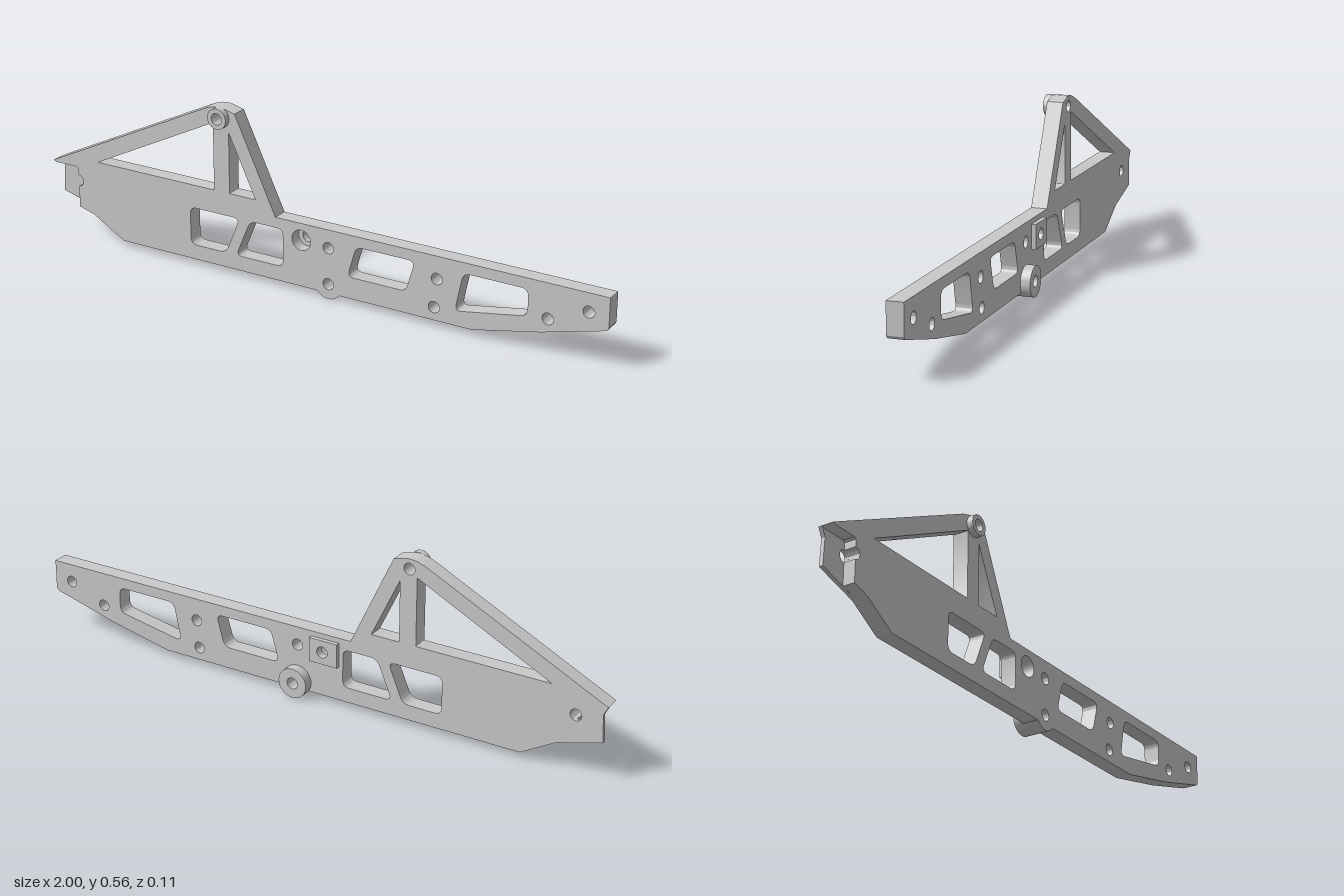
import * as THREE from 'three';
import { toCreasedNormals } from 'three/addons/utils/BufferGeometryUtils.js';

const metal = new THREE.MeshStandardMaterial({ color: 0xc9c9c9 });
metal.name = 'light grey metal';

// Plate levels along z: back face, recess floor, front face
const BACK = -0.021, FLOOR = -0.008, FRONT = 0.032;
const HOLE = 0.019;
const TOP_HUB = [-0.337, 0.525], LOW_HUB = [0.056, 0.05];
const PIVOT = [-0.042, 0.176], END_HOLE = [-0.899, 0.196];

const circle = ([x, y], r) => new THREE.Path().absarc(x, y, r, 0, Math.PI * 2, false);

// Closed polygon with corners rounded by radius r; corners run counter-clockwise
function rounded(points, r) {
  const path = new THREE.Path();
  const v = points.map(p => new THREE.Vector2(...p));
  v.forEach((p, i) => {
    const toward = q => p.clone().add(q.clone().sub(p).setLength(r));
    const a = toward(v[(i + v.length - 1) % v.length]);
    const b = toward(v[(i + 1) % v.length]);
    if (i === 0) path.moveTo(a.x, a.y); else path.lineTo(a.x, a.y);
    path.quadraticCurveTo(p.x, p.y, b.x, b.y);
  });
  return path.closePath();
}

// Extrude a shape from z0 to z1
function slab(name, shape, z0, z1) {
  const geo = new THREE.ExtrudeGeometry(shape, { depth: z1 - z0, bevelEnabled: false, curveSegments: 16 });
  geo.translate(0, 0, z0);
  const mesh = new THREE.Mesh(toCreasedNormals(geo, 0.5), metal);
  mesh.name = name;
  return mesh;
}

// Side outline, clockwise from the pointed end; the front layer has the end recess cut out
function outline(recessed) {
  const s = new THREE.Shape();
  s.moveTo(-1, 0.248);
  [[-0.391, 0.546], [-0.36, 0.556], [-0.332, 0.558], [-0.283, 0.546],
    [-0.136, 0.233], [1, 0.233], [1, 0.135], [0.994, 0.126], [0.784, 0.069], [0.556, 0.02],
    [0.096, 0.02]].forEach(p => s.lineTo(...p));
  // bulge around the lower hub
  s.absarc(...LOW_HUB, 0.05, -0.6435, -Math.PI + 0.6435, true);
  s.lineTo(-0.725, 0.02);
  s.lineTo(-0.84, 0.087);
  if (recessed) {
    s.lineTo(-0.899, 0.104);
    s.absarc(...END_HOLE, HOLE, -Math.PI / 2, Math.PI / 2, false);
    s.lineTo(-0.899, 0.238);
    s.lineTo(-0.906, 0.243);
    s.lineTo(-0.988, 0.243);
  } else {
    s.lineTo(-0.99, 0.129);
    s.lineTo(-0.985, 0.219);
  }
  s.closePath();

  // Triangular truss openings
  s.holes.push(
    rounded([[-0.364, 0.276], [-0.364, 0.502], [-0.818, 0.276]], 0.003),
    rounded([[-0.306, 0.276], [-0.209, 0.276], [-0.306, 0.48]], 0.003));
  // Rounded lightening windows
  [
    [[-0.457, 0.07], [-0.323, 0.07], [-0.27, 0.198], [-0.457, 0.198]],
    [[-0.284, 0.07], [-0.109, 0.07], [-0.109, 0.198], [-0.23, 0.198]],
    [[0.125, 0.092], [0.33, 0.092], [0.36, 0.198], [0.155, 0.198]],
    [[0.499, 0.068], [0.74, 0.111], [0.74, 0.198], [0.525, 0.198]],
  ].forEach(w => s.holes.push(rounded(w, 0.024)));
  // Bolt holes
  [TOP_HUB, LOW_HUB, [0.056, 0.172], [0.436, 0.158], [0.428, 0.063], [0.806, 0.118], [0.935, 0.172]]
    .forEach(c => s.holes.push(circle(c, HOLE)));
  // Counterbored pivot
  s.holes.push(circle(PIVOT, recessed ? 0.034 : HOLE));
  if (!recessed) s.holes.push(circle(END_HOLE, HOLE));
  return s;
}

// Round hub with a through hole
function hub(name, centre, r, z0, z1) {
  const s = new THREE.Shape();
  s.absarc(...centre, r, 0, Math.PI * 2, false);
  s.holes.push(circle(centre, HOLE));
  return slab(name, s, z0, z1);
}

export function createModel() {
  const group = new THREE.Group();
  group.name = 'sideRail';
  group.add(slab('railBackLayer', outline(false), BACK, FLOOR));
  group.add(slab('railFrontLayer', outline(true), FLOOR, FRONT));
  group.add(hub('topHub', TOP_HUB, 0.034, FRONT, 0.053));
  group.add(hub('lowerHub', LOW_HUB, 0.05, -0.053, BACK));

  // Square pad behind the pivot
  const pad = new THREE.Shape();
  pad.moveTo(-0.095, 0.135);
  pad.lineTo(0.005, 0.135);
  pad.lineTo(0.005, 0.216);
  pad.lineTo(-0.095, 0.216);
  pad.closePath();
  pad.holes.push(circle(PIVOT, HOLE));
  group.add(slab('pivotPad', pad, -0.035, BACK));
  return group;
}
